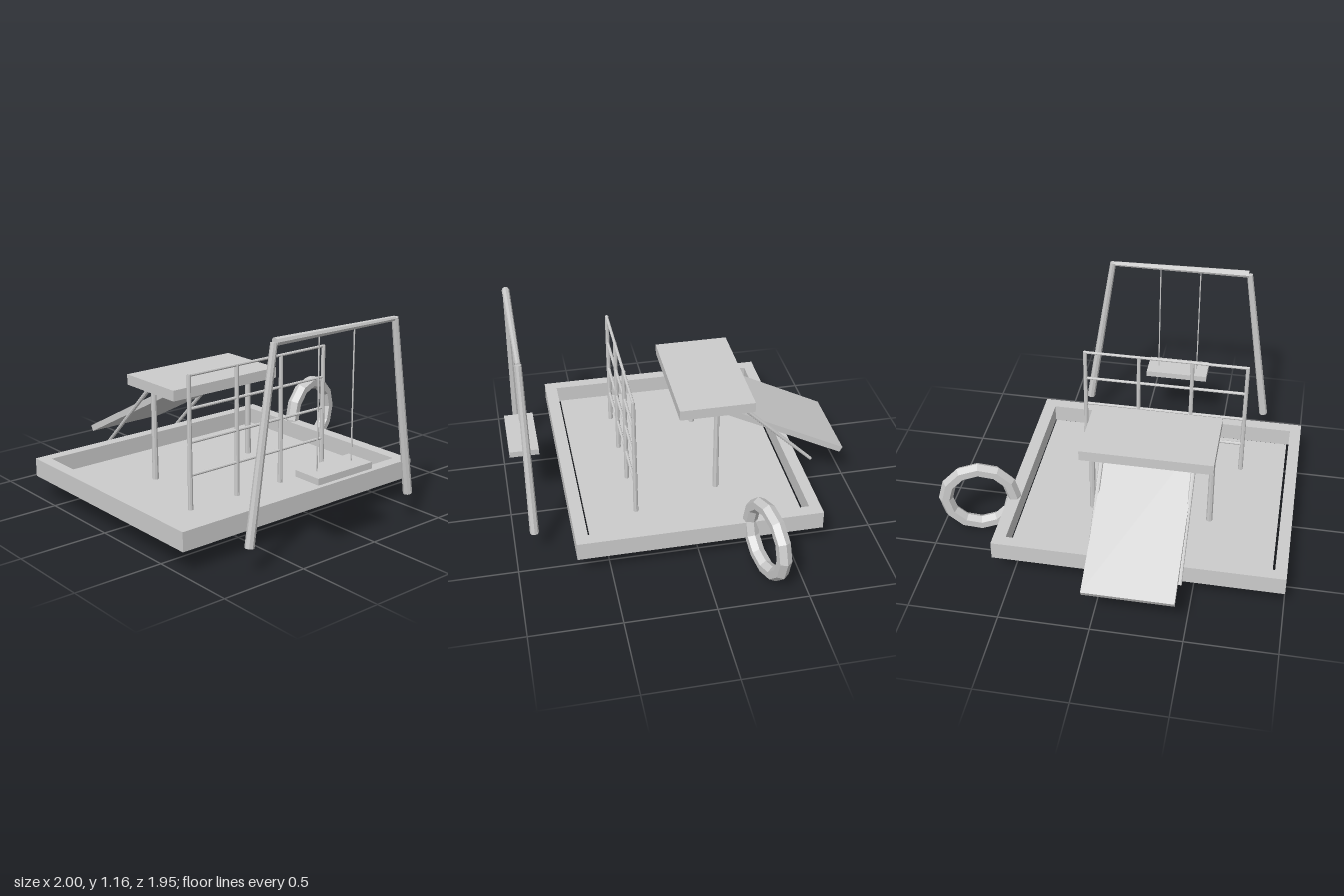
import * as THREE from 'three';

const material = new THREE.MeshStandardMaterial({ color: 0xcccccc, flatShading: true });

function add(parent, name, geometry) {
  const mesh = new THREE.Mesh(geometry, material);
  mesh.name = name;
  parent.add(mesh);
  return mesh;
}

// Box given by its limits on each axis
function box(parent, name, [x0, x1], [y0, y1], [z0, z1]) {
  const mesh = add(parent, name, new THREE.BoxGeometry(x1 - x0, y1 - y0, z1 - z0));
  mesh.position.set((x0 + x1) / 2, (y0 + y1) / 2, (z0 + z1) / 2);
  return mesh;
}

// Tapered round bar from a to b
function bar(parent, name, a, b, ra, rb = ra, sides = 8) {
  const start = new THREE.Vector3(...a), end = new THREE.Vector3(...b);
  const dir = end.clone().sub(start);
  const mesh = add(parent, name, new THREE.CylinderGeometry(rb, ra, dir.length(), sides));
  mesh.position.copy(start).add(end).multiplyScalar(0.5);
  mesh.quaternion.setFromUnitVectors(new THREE.Vector3(0, 1, 0), dir.normalize());
  return mesh;
}

function rect(target, x0, x1, y0, y1) {
  target.moveTo(x0, y0);
  target.lineTo(x1, y0);
  target.lineTo(x1, y1);
  target.lineTo(x0, y1);
  target.closePath();
  return target;
}

function group(parent, name) {
  const g = new THREE.Group();
  g.name = name;
  parent.add(g);
  return g;
}

export function createModel() {
  const model = new THREE.Group();
  model.name = 'playground';
  const floor = 0.14;

  // Sandpit: square border with a thin sand slab inside a narrow gap
  const pit = group(model, 'sandpit');
  const outline = rect(new THREE.Shape(), -1, 0.61, -0.685, 0.685);
  outline.holes.push(rect(new THREE.Path(), -0.935, 0.54, -0.615, 0.62));
  const border = add(pit, 'sandpitBorder',
    new THREE.ExtrudeGeometry(outline, { depth: 0.105, bevelEnabled: false }));
  border.rotation.x = -Math.PI / 2;
  border.position.y = 0.125;
  box(pit, 'sand', [-0.922, 0.53], [0.118, floor], [-0.605, 0.595]);

  // Swing: two splayed legs, top beam, ropes and seat
  const swing = group(model, 'swing');
  const sz = 0.89;
  bar(swing, 'swingLeg', [-0.755, 0.147, sz], [-0.605, 1.14, sz], 0.025, 0.018);
  bar(swing, 'swingLeg', [0.365, 0.147, sz], [0.215, 1.14, sz], 0.025, 0.018);
  bar(swing, 'swingBeam', [-0.6, 1.143, sz], [0.21, 1.135, sz], 0.022, 0.014);
  for (const x of [-0.315, -0.075])
    bar(swing, 'swingRope', [x, 0.42, sz], [x, 1.135, sz], 0.004, 0.004, 6);
  box(swing, 'swingSeat', [-0.385, -0.01], [0.4, 0.435], [0.808, 0.975]);

  // Climbing frame: four posts with four rails
  const climber = group(model, 'climbingFrame');
  const cz = 0.31;
  for (const x of [-0.665, -0.35, -0.04, 0.275])
    bar(climber, 'climbingPost', [x, floor, cz], [x, 0.872, cz], 0.014, 0.011);
  for (const y of [0.33, 0.51, 0.69, 0.868])
    bar(climber, 'climbingRail', [-0.67, y, cz], [0.28, y, cz], 0.009, 0.008);

  // Slide: platform on two posts, sloping board and two braces
  const slide = group(model, 'slide');
  box(slide, 'platform', [-0.56, 0.17], [0.645, 0.705], [-0.395, 0.035]);
  for (const x of [-0.535, 0.14])
    bar(slide, 'platformPost', [x, floor, -0.18], [x, 0.66, -0.18], 0.018, 0.015);
  const [topY, topZ, endY, endZ] = [0.648, -0.14, 0.22, -0.964];
  const dy = topY - endY, dz = topZ - endZ;
  const board = add(slide, 'slideBoard', new THREE.BoxGeometry(0.495, 0.036, Math.hypot(dy, dz)));
  board.position.set(-0.197, (topY + endY) / 2, (topZ + endZ) / 2);
  board.rotation.x = -Math.atan2(dy, dz);
  for (const x of [-0.447, 0.055])
    bar(slide, 'slideBrace', [x, 0.185, -0.777], [x, 0.66, -0.295], 0.01, 0.013);

  // Tyre standing beside the sandpit
  const tyre = add(model, 'tyre', new THREE.TorusGeometry(0.194, 0.041, 6, 12));
  tyre.position.set(0.77, 0.235, -0.317);
  tyre.rotation.y = 0.225;

  return model;
}
